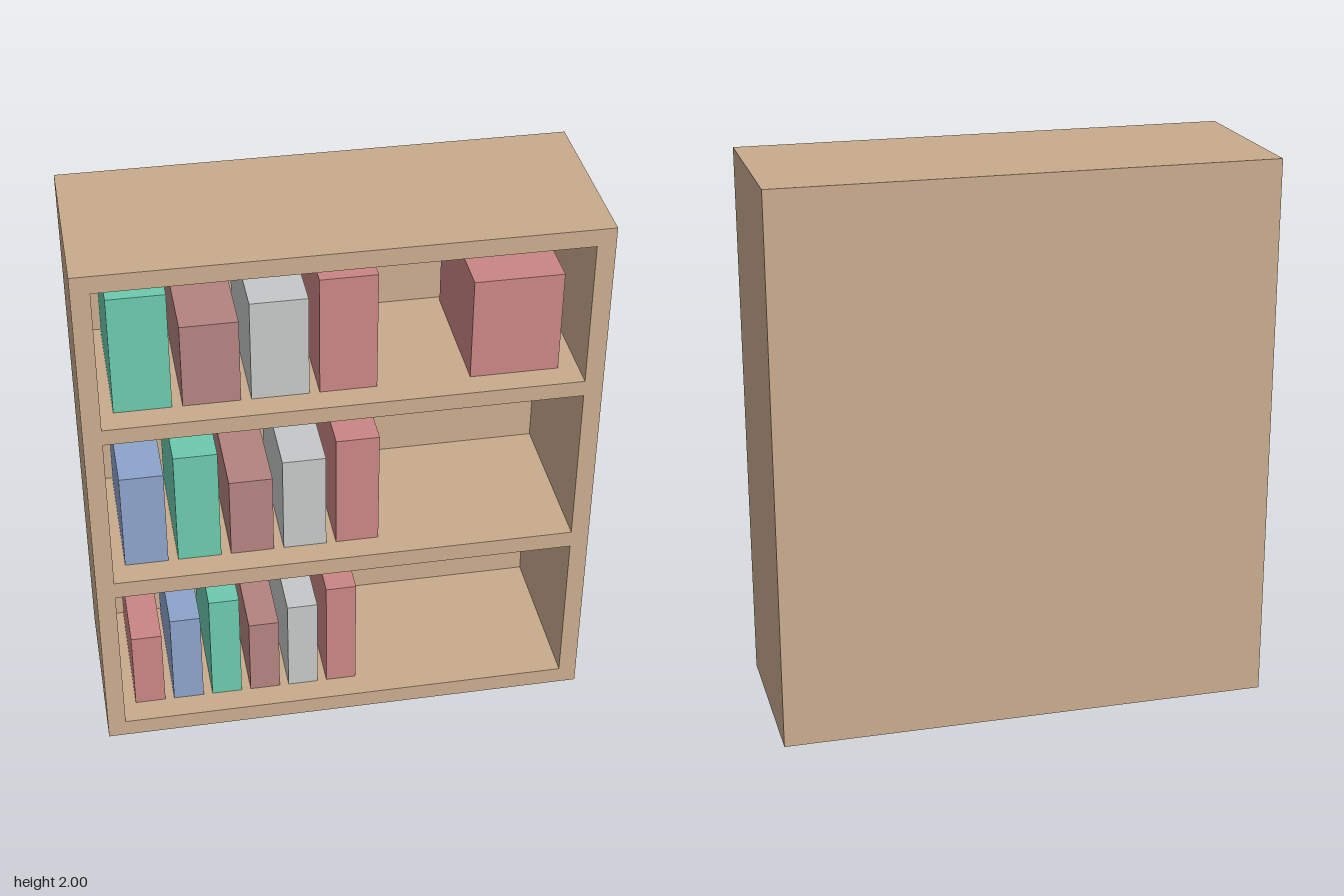
import * as THREE from 'three';

const material = (name, color) => {
  const m = new THREE.MeshStandardMaterial({ color });
  m.name = name;
  return m;
};

export function createModel() {
  const model = new THREE.Group();
  model.name = 'bookcase';

  const wood = material('wood', 0xc9ab8d);
  const red = material('red', 0xc98584);
  const blue = material('blue', 0x8ca3cb);
  const green = material('green', 0x6ccaae);
  const mauve = material('mauve', 0xb38380);
  const grey = material('grey', 0xc5c8c8);

  const W = 0.89, H = 2, D = 0.332;   // half width, height, half depth
  const inner = 0.825, backZ = -0.275;

  // Frame with three shelf openings
  const outline = new THREE.Shape([
    new THREE.Vector2(-W, 0), new THREE.Vector2(W, 0),
    new THREE.Vector2(W, H), new THREE.Vector2(-W, H),
  ]);
  for (const [y0, y1] of [[0.065, 0.67], [0.735, 1.34], [1.4, 1.936]]) {
    outline.holes.push(new THREE.Path([
      new THREE.Vector2(-inner, y0), new THREE.Vector2(-inner, y1),
      new THREE.Vector2(inner, y1), new THREE.Vector2(inner, y0),
    ]));
  }
  const frame = new THREE.Mesh(
    new THREE.ExtrudeGeometry(outline, { depth: D - backZ, bevelEnabled: false }), wood);
  frame.name = 'frame';
  frame.position.z = backZ;
  model.add(frame);

  // Back panel
  const back = new THREE.Mesh(new THREE.BoxGeometry(2 * W, H, backZ + D), wood);
  back.name = 'backPanel';
  back.position.set(0, H / 2, (backZ - D) / 2);
  model.add(back);

  // Books stand on a shelf, all the same depth
  const bookFront = 0.238, bookBack = -0.252;
  const addBook = (parent, name, x, width, y, height, mat) => {
    const book = new THREE.Mesh(new THREE.BoxGeometry(width, height, bookFront - bookBack), mat);
    book.name = name;
    book.position.set(x + width / 2, y + height / 2, (bookFront + bookBack) / 2);
    parent.add(book);
  };

  const short = 0.315, medium = 0.38, tall = 0.447;
  const rows = [
    { name: 'lowerBooks', y: 0.065, width: 0.111, step: 0.1443,
      books: [[red, short], [blue, medium], [green, tall], [mauve, short], [grey, medium], [red, tall]] },
    { name: 'middleBooks', y: 0.735, width: 0.154, step: 0.1893,
      books: [[blue, medium], [green, tall], [mauve, short], [grey, medium], [red, tall]] },
    { name: 'upperBooks', y: 1.4, width: 0.198, step: 0.2335,
      books: [[green, tall], [mauve, short], [grey, medium], [red, tall]] },
  ];
  for (const row of rows) {
    const group = new THREE.Group();
    group.name = row.name;
    row.books.forEach(([mat, height], i) =>
      addBook(group, `book${i + 1}`, -0.778 + i * row.step, row.width, row.y, height, mat));
    model.add(group);
  }

  // Wide box at the end of the top shelf
  addBook(model, 'storageBox', 0.445, 0.31, 1.4, medium, red);

  return model;
}
